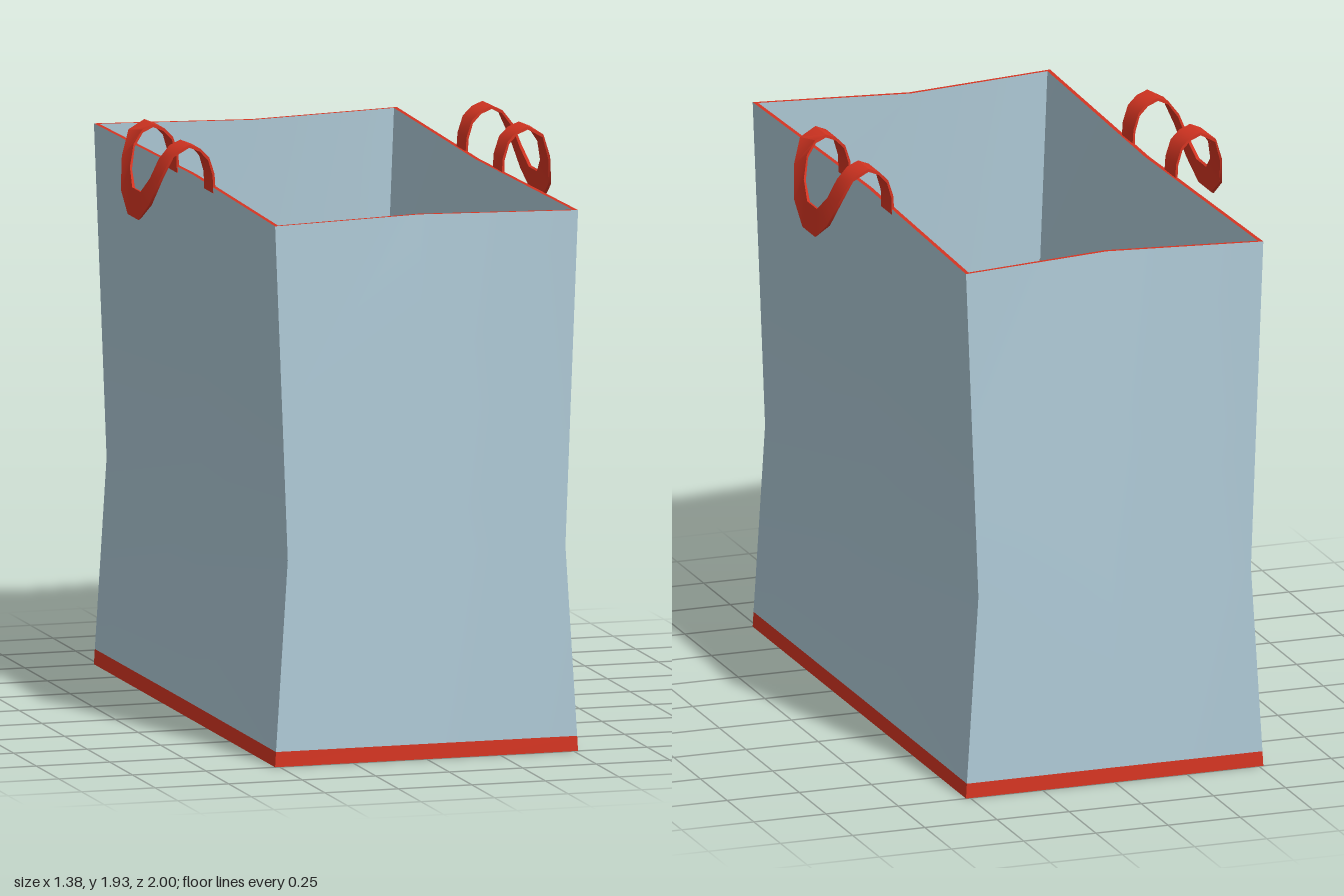
import * as THREE from 'three';
import { toCreasedNormals } from 'three/addons/utils/BufferGeometryUtils.js';

// Skin a list of point rings; closed joins the last point of each ring to the first
function loft(rings, closed = true) {
  const n = rings[0].length, index = [];
  for (let i = 0; i < rings.length - 1; i++) {
    for (let j = 0; j < (closed ? n : n - 1); j++) {
      const a = i * n + j, b = i * n + (j + 1) % n;
      index.push(a, b, b + n, a, b + n, a + n);
    }
  }
  const g = new THREE.BufferGeometry();
  g.setAttribute('position', new THREE.Float32BufferAttribute(rings.flat(2), 3));
  g.setIndex(index);
  return toCreasedNormals(g, 0.7);
}

// Bag cross-section: four corners plus a pinched midpoint on every side
function ring([y, cx, sx, cz, fz], t = 0) {
  const a = cx - t, s = sx - t, c = cz - t, f = fz - t;
  return [[a, y, c], [s, y, 0], [a, y, -c], [0, y, -f],
    [-a, y, -c], [-s, y, 0], [-a, y, c], [0, y, f]];
}

export function createModel() {
  const blue = new THREE.MeshStandardMaterial({ color: 0xaec9d6 });
  blue.name = 'pale blue';
  const red = new THREE.MeshStandardMaterial({ color: 0xd63522 });
  red.name = 'red';
  const pink = new THREE.MeshStandardMaterial({ color: 0xdca497 });
  pink.name = 'faded pink';

  const bag = new THREE.Group();
  bag.name = 'bag';
  const add = (name, geometry, material, parent = bag) => {
    const m = new THREE.Mesh(geometry, material);
    m.name = name;
    parent.add(m);
    return m;
  };

  // Levels: height, corner x, side-middle x, corner z, front-middle z
  const base = [0, 0.515, 0.515, 1, 1];
  const band = [0.05, 0.512, 0.51, 1, 0.998];
  const waist = [0.68, 0.472, 0.458, 1, 0.975];
  const chest = [1.15, 0.49, 0.47, 1, 0.952];
  const top = [1.785, 0.515, 0.488, 1, 0.925];
  const T = 0.014;
  const centre = y => ring([y, 0, 0, 0, 0]);

  // Walls, rim and bottom
  add('outerWalls', loft([band, waist, chest, top].map(l => ring(l))), blue);
  add('innerWalls', loft([top, chest, waist, band].map(l => ring(l, T))), blue);
  add('rim', loft([ring(top), ring(top, T)]), red);
  add('bottomBand', loft([ring(base), ring(band)]), red);
  add('underside', loft([centre(0), ring(base)]), red);
  add('floor', loft([ring(band, T), centre(0.05)]), red);

  // Lining panels low on the inside of the long walls
  const lining = loft([chest, waist].map(l => ring(l, T + 0.004).slice(0, 3)), false);
  add('liningLeft', lining, pink);
  add('liningRight', lining, pink).rotation.y = Math.PI;

  // Ribbon handle: outer edge x, y, z then inner edge x, y, z, down to the middle
  const half = [
    [0.486, 1.77, 0.25, 0.486, 1.77, 0.15],
    [0.490, 1.83, 0.25, 0.490, 1.83, 0.15],
    [0.508, 1.885, 0.25, 0.508, 1.885, 0.15],
    [0.538, 1.915, 0.25, 0.538, 1.915, 0.15],
    [0.575, 1.930, 0.25, 0.575, 1.930, 0.15],
    [0.630, 1.900, 0.245, 0.612, 1.914, 0.15],
    [0.662, 1.820, 0.215, 0.645, 1.870, 0.14],
    [0.684, 1.720, 0.155, 0.667, 1.800, 0.11],
    [0.690, 1.655, 0.06, 0.679, 1.745, 0.045],
  ];
  const mirrored = half.map(([a, b, c, d, e, f]) => [a, b, -c, d, e, -f]).reverse();
  const inward = ([x, y, z]) => {
    const dx = 0.58 - x, dy = 1.72 - y, k = 0.01 / Math.hypot(dx, dy);
    return [x + dx * k, y + dy * k, z];
  };
  const ribbon = loft([...half, ...mirrored].map(r => {
    const outer = r.slice(0, 3), inner = r.slice(3);
    return [inner, outer, inward(outer), inward(inner)];
  }));
  add('handleLeft', ribbon, red);
  add('handleRight', ribbon, red).rotation.y = Math.PI;

  return bag;
}
